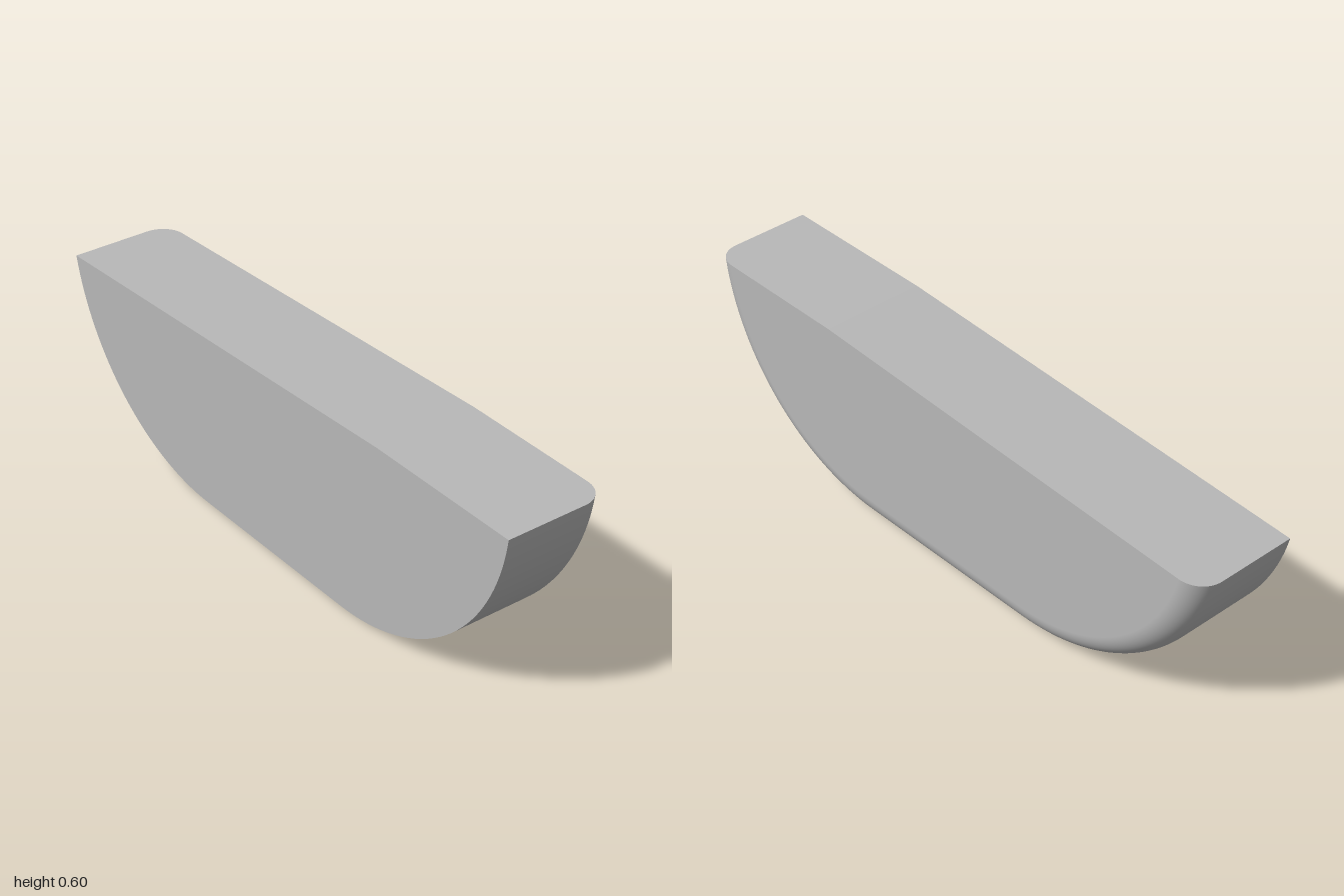
import * as THREE from 'three';

const HALF = 0.167;           // half width
const FILLET = 0.077;         // rounding along the +x edge
const R = 0.685;              // radius of both curved ends
const ZF = 0.32, ZB = -0.33;  // arc centres, front and back
const TOP = 0.604, KINK = 0.47;
const ARC = 32, STEPS = 14;

// height of the top: level at the front, then sloping down to the back
const topY = z => (z > KINK ? TOP : TOP - (KINK - z) * 0.064 / 1.47);

// hull outline inset by d at width x, front to back, with tilt t of the fillet
function ring(x, d, t) {
  const r = R - d;
  const endF = Math.acos((R - TOP) / r);
  let z = -1;
  for (let i = 0; i < 12; i++) z = ZB - Math.sqrt(r * r - (R - topY(z)) ** 2);
  const endB = Math.acos((R - topY(z)) / r);
  const points = [], normals = [];
  const add = (zc, a) => {
    points.push([x, R - r * Math.cos(a), zc + r * Math.sin(a)]);
    normals.push([Math.sin(t), -Math.cos(t) * Math.cos(a), Math.cos(t) * Math.sin(a)]);
  };
  for (let i = 0; i <= ARC; i++) add(ZF, endF * (1 - i / ARC));
  for (let i = 0; i <= ARC; i++) add(ZB, -endB * i / ARC);
  return { points, normals };
}

// surface between successive rows of points
function grid(rows, flip, normals) {
  const n = rows[0].length, index = [];
  for (let k = 0; k < rows.length - 1; k++) {
    for (let j = 0; j < n - 1; j++) {
      const a = k * n + j, b = a + 1, c = a + n, d = c + 1;
      index.push(...(flip ? [a, c, b, b, c, d] : [a, b, c, b, d, c]));
    }
  }
  const g = new THREE.BufferGeometry();
  g.setAttribute('position', new THREE.Float32BufferAttribute(rows.flat(2), 3));
  g.setIndex(index);
  if (normals) {
    g.setAttribute('normal', new THREE.Float32BufferAttribute(normals.flat(2), 3));
    return g;
  }
  const flat = g.toNonIndexed();
  flat.computeVertexNormals();
  return flat;
}

// flat side, fanned from the kink in the top edge
function side(points, flip) {
  const position = [], mid = [points[0][0], TOP, KINK];
  for (let j = 0; j < points.length - 1; j++) {
    const [p, q] = flip ? [points[j + 1], points[j]] : [points[j], points[j + 1]];
    position.push(...mid, ...p, ...q);
  }
  const g = new THREE.BufferGeometry();
  g.setAttribute('position', new THREE.Float32BufferAttribute(position, 3));
  g.computeVertexNormals();
  return g;
}

export function createModel() {
  const group = new THREE.Group();
  group.name = 'halfRoundBlock';
  const grey = new THREE.MeshStandardMaterial({ color: 0xb8b8b8 });
  grey.name = 'grey';
  const add = (name, geometry) => {
    const mesh = new THREE.Mesh(geometry, grey);
    mesh.name = name;
    group.add(mesh);
  };

  // straight width, then a quarter-round fillet on the +x side
  const rings = [ring(-HALF, 0, 0)];
  for (let i = 0; i <= STEPS; i++) {
    const t = (i / STEPS) * Math.PI / 2;
    rings.push(ring(HALF - FILLET + FILLET * Math.sin(t), FILLET * (1 - Math.cos(t)), t));
  }
  const rows = rings.map(r => r.points);

  add('curvedHull', grid(rows, false, rings.map(r => r.normals)));
  add('top', grid(rows.map(p => [p[0], [p[0][0], TOP, KINK], p[p.length - 1]]), true));
  add('leftSide', side(rows[rows.length - 1], false));
  add('rightSide', side(rows[0], true));
  return group;
}
